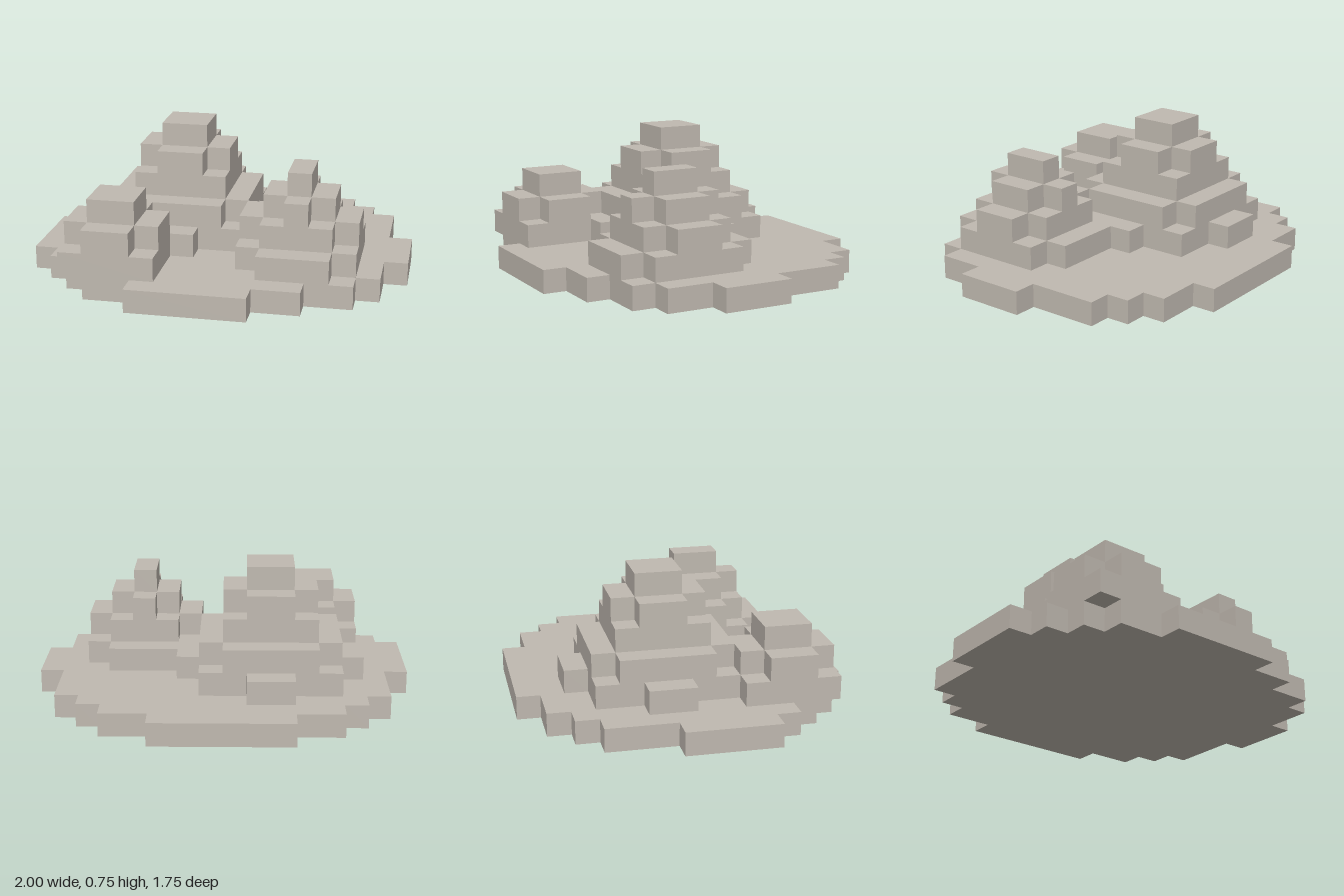
import * as THREE from 'three';

const U = 0.125; // one grid cell

const stone = new THREE.MeshStandardMaterial({ color: 0xc0b9b0 });
stone.name = 'paleStone';

// One-cell-high slab from rows of [z0, z1, x0, x1], ordered back to front
function slab(name, level, rows) {
  const right = rows.flatMap(([z0, z1, , x]) => [[x, z0], [x, z1]]);
  const left = rows.flatMap(([z0, z1, x]) => [[x, z0], [x, z1]]).reverse();
  const points = [...right, ...left].map(([x, z]) => new THREE.Vector2(x * U, -z * U));
  const geometry = new THREE.ExtrudeGeometry(new THREE.Shape(points), { depth: U, bevelEnabled: false });
  geometry.rotateX(-Math.PI / 2);
  const mesh = new THREE.Mesh(geometry, stone);
  mesh.name = name;
  mesh.position.y = level * U;
  return mesh;
}

// Full rectangle
const square = (x0, x1, z0, z1) => [[z0, z1, x0, x1]];

// Rectangle with its corner cells removed
const cross = (x0, x1, z0, z1) => [
  [z0, z0 + 1, x0 + 1, x1 - 1],
  [z0 + 1, z1 - 1, x0, x1],
  [z1 - 1, z1, x0 + 1, x1 - 1],
];

// Stack of slabs rising from the base
function mound(name, layers) {
  const group = new THREE.Group();
  group.name = name;
  layers.forEach((rows, i) => group.add(slab(`${name}Step${i + 1}`, i + 1, rows)));
  return group;
}

export function createModel() {
  const model = new THREE.Group();
  model.name = 'rockyIsland';

  // Rounded, stepped ground plate
  model.add(slab('base', 0, [
    [-7, -6, -3, 3],
    [-6, -5, -5, 5],
    [-5, -4, -6, 6],
    [-4, -1, -7, 7],
    [-1, 2, -8, 8],
    [2, 3, -8, 7],
    [3, 4, -7, 7],
    [4, 5, -6, 6],
    [5, 6, -5, 4],
    [6, 7, -3, 2],
  ]));

  // Tallest mound, with a short foot on each side of its lowest step
  model.add(mound('tallMound', [
    [
      [-5, -4, -3, -1],
      [-4, -2, -5, 1],
      [-2, 0, -6, 2],
      [0, 2, -5, 1],
      [2, 3, -3, -1],
    ],
    cross(-5, 1, -4, 2),
    square(-4, 0, -3, 1),
    cross(-4, 0, -3, 1),
    square(-3, -1, -2, 0),
  ]));

  // Narrow-peaked mound
  model.add(mound('narrowMound', [
    cross(1, 6, -1, 5),
    [[0, 1, 2, 5], [1, 3, 1, 6], [3, 4, 2, 5]],
    cross(2, 5, 0, 4),
    square(3, 4, 1, 3),
  ]));

  // Low mound at the front
  model.add(mound('lowMound', [
    square(-6, -2, 2, 6),
    cross(-6, -2, 2, 6),
    square(-5, -3, 3, 5),
  ]));

  return model;
}
